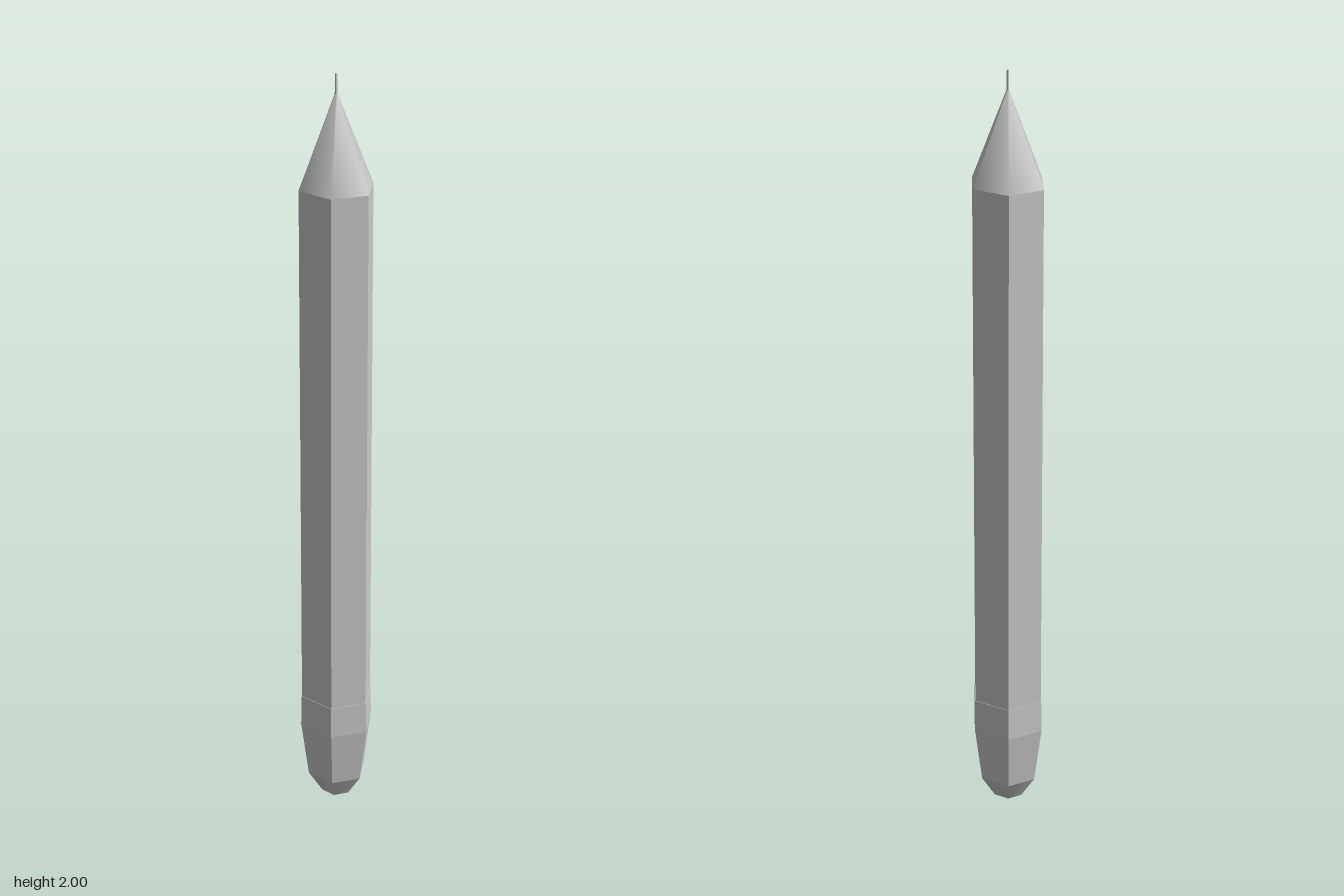
import * as THREE from 'three';

const SQUEEZE = 0.92; // the hexagon is slightly narrower across its flats

export function createModel() {
  const pencil = new THREE.Group();
  pencil.name = 'pencil';

  // Tapered prism from y0 (radius r0) up to y1 (radius r1), corners on +z and -z
  function section(name, r0, y0, r1, y1, { flat = true, open = true, sides = 6 } = {}) {
    const geometry = new THREE.CylinderGeometry(r1, r0, y1 - y0, sides, 1, open);
    geometry.scale(SQUEEZE, 1, 1);
    geometry.translate(0, (y0 + y1) / 2, 0);
    const material = new THREE.MeshStandardMaterial({ color: 0xcccccc, flatShading: flat });
    const mesh = new THREE.Mesh(geometry, material);
    mesh.name = name;
    pencil.add(mesh);
  }

  // Hexagonal shaft
  section('shaft', 0.101, 0.22, 0.101, 1.718, { open: false });

  // Sharpened cone and the thin lead at its point
  section('sharpenedTip', 0.101, 1.718, 0.004, 1.95, { flat: false });
  section('lead', 0.004, 1.94, 0.003, 2, { open: false });

  // Sleeve around the lower end, tapering down to a rounded end cap
  section('sleeve', 0.104, 0.218, 0.1025, 0.305, { open: false });
  section('taperedEnd', 0.082, 0.062, 0.104, 0.218);
  section('endCap', 0.042, 0, 0.082, 0.062, { flat: false, open: false });

  return pencil;
}
